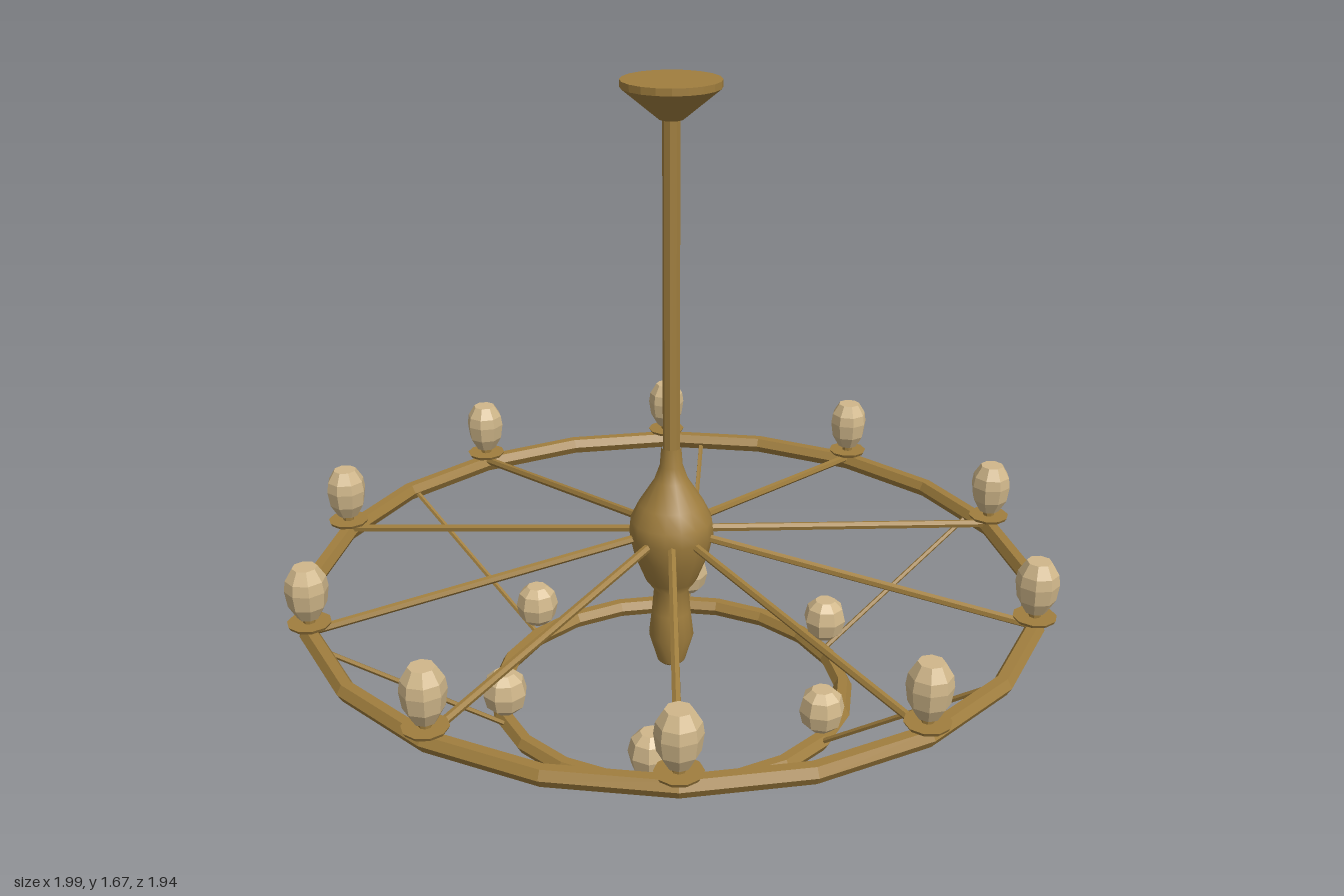
import * as THREE from 'three';

const bronze = new THREE.MeshStandardMaterial({ color: 0xa07e3e });
bronze.name = 'bronze';
const bronzeFlat = bronze.clone();
bronzeFlat.name = 'bronze faceted';
bronzeFlat.flatShading = true;
const glass = new THREE.MeshStandardMaterial({ color: 0xd0b78a, flatShading: true });
glass.name = 'warm glass';

const OUTER_R = 0.945, OUTER_Y = 0.355;
const INNER_R = 0.467, INNER_Y = 0.022;

function add(parent, name, geometry, material) {
  const mesh = new THREE.Mesh(geometry, material);
  mesh.name = name;
  parent.add(mesh);
  return mesh;
}

function lathe(points, sides) {
  return new THREE.LatheGeometry(points.map(([r, y]) => new THREE.Vector2(r, y)), sides);
}

// Point on a horizontal circle, counted anticlockwise from +x seen from above
function polar(r, y, a) {
  return new THREE.Vector3(r * Math.cos(a), y, -r * Math.sin(a));
}

// Straight bar between two points
function bar(parent, name, a, b, radius, sides) {
  const dir = b.clone().sub(a);
  const mesh = add(parent, name, new THREE.CylinderGeometry(radius, radius, dir.length(), sides), bronzeFlat);
  mesh.position.copy(a).add(b).multiplyScalar(0.5);
  mesh.quaternion.setFromUnitVectors(new THREE.Vector3(0, 1, 0), dir.normalize());
}

function ring(parent, name, radius, y, segments) {
  const geometry = new THREE.TorusGeometry(radius, 0.025, 6, segments).rotateX(Math.PI / 2);
  add(parent, name, geometry, bronzeFlat).position.y = y;
}

export function createModel() {
  const model = new THREE.Group();
  model.name = 'chandelier';

  // Ceiling mount and stem
  add(model, 'canopy', lathe([[0, 1.575], [0.03, 1.575], [0.123, 1.652], [0.123, 1.67], [0, 1.67]], 20), bronzeFlat);
  add(model, 'stem', new THREE.CylinderGeometry(0.022, 0.022, 0.92, 8).translate(0, 1.13, 0), bronzeFlat);

  // Turned central hub
  add(model, 'hub', lathe([
    [0.026, 0.73], [0.03, 0.68], [0.044, 0.64], [0.085, 0.575], [0.107, 0.53], [0.111, 0.49],
    [0.098, 0.43], [0.068, 0.355], [0.046, 0.325], [0.052, 0.26], [0.06, 0.19], [0.037, 0.112],
  ].reverse(), 16), bronze);
  add(model, 'hubBase', new THREE.CylinderGeometry(0.037, 0.03, 0.008, 16).translate(0, 0.109, 0), bronze);

  // Two hoops
  ring(model, 'outerRing', OUTER_R, OUTER_Y, 20);
  ring(model, 'innerRing', INNER_R, INNER_Y, 20);

  // Spokes with upright lamps on the outer hoop
  const upperShade = lathe([[0, 0.408], [0.028, 0.408], [0.048, 0.443], [0.054, 0.485],
    [0.05, 0.513], [0.031, 0.544], [0, 0.544]], 8);
  for (let i = 0; i < 10; i++) {
    const a = i * Math.PI / 5;
    bar(model, 'spoke', polar(0.02, 0.497, a), polar(OUTER_R, OUTER_Y + 0.01, a), 0.011, 6);
    const lamp = new THREE.Group();
    lamp.name = 'upperLamp';
    lamp.position.copy(polar(0.943, 0, a));
    lamp.rotation.y = a;
    add(lamp, 'dish', new THREE.CylinderGeometry(0.055, 0.05, 0.009, 10).translate(0, 0.389, 0), bronzeFlat);
    add(lamp, 'socket', new THREE.CylinderGeometry(0.017, 0.014, 0.045, 8).translate(0, 0.395, 0), bronzeFlat);
    add(lamp, 'upperShade', upperShade, glass);
    model.add(lamp);
  }

  // Hanger rods and round lamps above the inner hoop
  const lowerShade = lathe([[0, 0.068], [0.028, 0.068], [0.05, 0.088], [0.059, 0.125],
    [0.05, 0.162], [0.028, 0.182], [0, 0.182]], 8);
  for (let i = 0; i < 6; i++) {
    const a = 0.3 + i * Math.PI / 3;
    bar(model, 'hangerRod', polar(INNER_R, INNER_Y, a), polar(0.93, OUTER_Y, a), 0.007, 5);
    const lamp = add(model, 'lowerShade', lowerShade, glass);
    lamp.position.copy(polar(0.472, 0, a));
    lamp.rotation.y = a;
  }
  return model;
}
